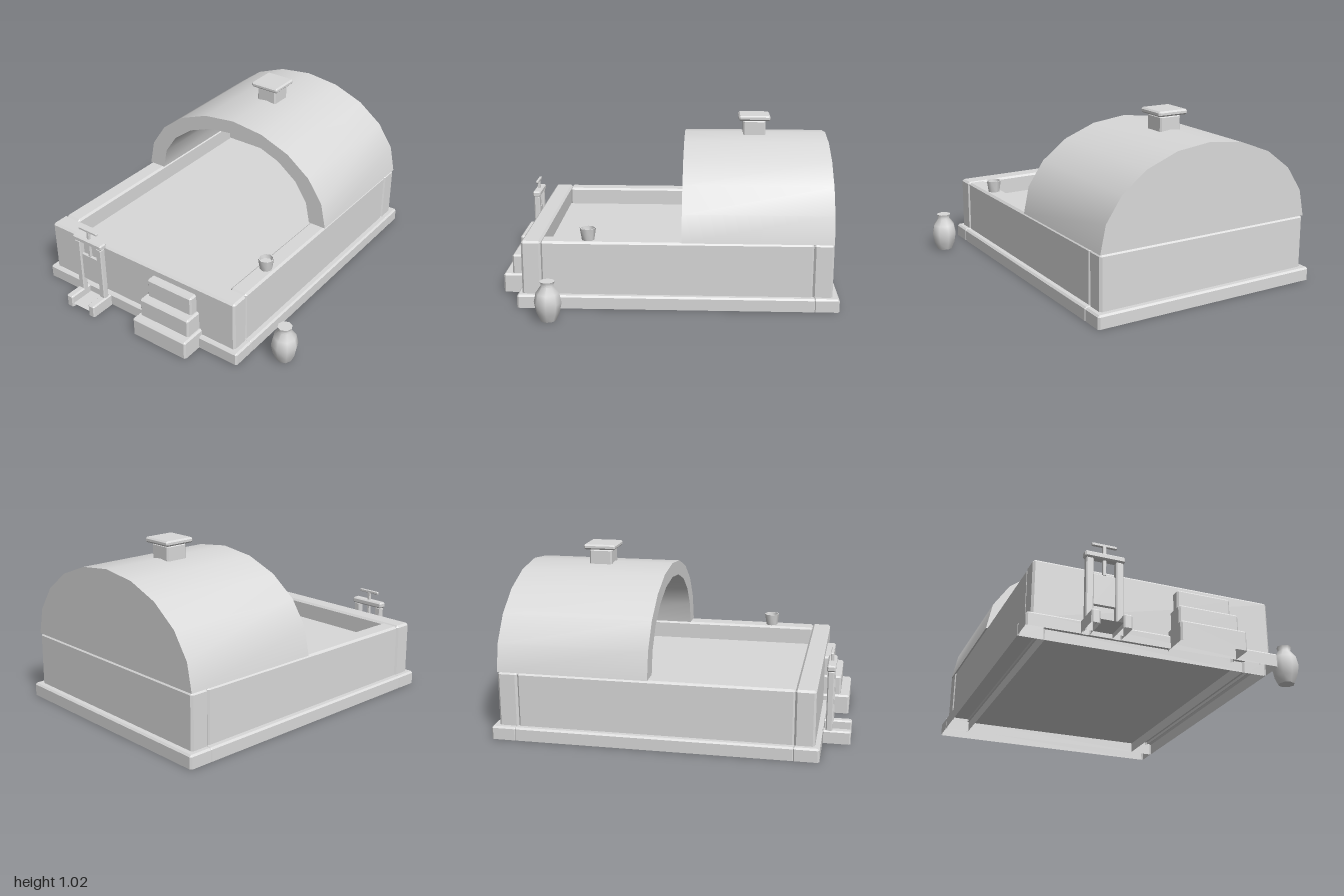
import * as THREE from 'three';
import { ConvexGeometry } from 'three/addons/geometries/ConvexGeometry.js';
import { toCreasedNormals } from 'three/addons/utils/BufferGeometryUtils.js';

const stone = new THREE.MeshStandardMaterial({ color: 0xd9d9d9, side: THREE.DoubleSide });
stone.name = 'pale stone grey';

const CX = -0.127; // centre line of the basin

// Block with chamfered edges; an open one has no underside
function chamferBox(w, h, d, b, open) {
  const x = w / 2, y = h / 2, z = d / 2, points = [];
  for (const sx of [-1, 1]) for (const sz of [-1, 1]) {
    const put = (px, py, pz) => points.push(new THREE.Vector3(sx * px, py, sz * pz));
    for (const level of [open ? -y : b - y, y - b]) {
      put(x, level, z - b);
      put(x - b, level, z);
    }
    put(x - b, y, z - b);
    if (!open) put(x - b, -y, z - b);
  }
  const geometry = new ConvexGeometry(points);
  if (!open) return geometry;
  const pos = geometry.attributes.position, kept = [];
  for (let i = 0; i < pos.count; i += 3) {
    const low = [i, i + 1, i + 2].every((k) => pos.getY(k) < 1e-5 - y);
    if (!low) kept.push(i, i + 1, i + 2);
  }
  geometry.setIndex(kept);
  return geometry;
}

export function createModel() {
  const model = new THREE.Group();
  model.name = 'vaultedBath';

  const add = (name, geometry, parent = model) => {
    const mesh = new THREE.Mesh(geometry, stone);
    mesh.name = name;
    parent.add(mesh);
    return mesh;
  };
  // Block given by its extents
  const block = (name, x0, x1, y0, y1, z0, z1, parent, bevel = 0.01, open = true) => {
    const mesh = add(name, chamferBox(x1 - x0, y1 - y0, z1 - z0, bevel, open), parent);
    mesh.position.set((x0 + x1) / 2, (y0 + y1) / 2, (z0 + z1) / 2);
  };
  const sheet = (name, x0, x1, y, z0, z1, parent) => {
    const mesh = add(name, new THREE.PlaneGeometry(x1 - x0, z1 - z0).rotateX(-Math.PI / 2), parent);
    mesh.position.set((x0 + x1) / 2, y, (z0 + z1) / 2);
  };
  const group = (name) => {
    const g = new THREE.Group();
    g.name = name;
    model.add(g);
    return g;
  };

  // Plinth frame
  const plinth = group('plinth');
  block('plinthFront', -0.845, 0.59, 0, 0.077, 0.7, 0.845, plinth);
  block('plinthBack', -0.845, 0.59, 0, 0.077, -1, -0.855, plinth);
  block('plinthRight', -0.845, -0.7, 0, 0.077, -0.865, 0.71, plinth);
  block('plinthLeft', 0.445, 0.59, 0, 0.077, -0.865, 0.71, plinth);

  // Basin walls, floor and water surface
  const basin = group('basin');
  block('frontWall', -0.812, 0.557, 0.06, 0.39, 0.705, 0.818, basin, 0.012);
  block('backWall', -0.812, 0.557, 0.06, 0.39, -0.962, -0.848, basin, 0.012);
  block('rightWall', -0.809, -0.7, 0.06, 0.389, -0.85, 0.707, basin, 0.012);
  block('leftWall', 0.445, 0.554, 0.06, 0.389, -0.85, 0.707, basin, 0.012);
  sheet('basinFloor', -0.71, 0.455, 0.06, -0.87, 0.72, basin);
  sheet('water', -0.71, 0.455, 0.28, -0.87, 0.72, basin);

  // Barrel vault: faceted half ellipses
  const arc = (rx, ry) => Array.from({ length: 11 }, (_, i) => {
    const a = (i / 10) * Math.PI;
    return new THREE.Vector2(CX + rx * Math.cos(a), 0.39 + ry * Math.sin(a));
  });
  const outer = arc(0.685, 0.515);
  const inner = arc(0.572, 0.43);
  const vault = group('vault');
  const shell = new THREE.ExtrudeGeometry(
    new THREE.Shape([...outer, ...inner.reverse()]), { depth: 0.862, bevelEnabled: false });
  add('vaultShell', toCreasedNormals(shell, 0.7), vault).position.z = -0.962;
  const end = new THREE.ExtrudeGeometry(new THREE.Shape(inner), { depth: 0.05, bevelEnabled: false });
  add('vaultBackWall', end, vault).position.z = -0.962;

  // Chimney
  const chimney = group('chimney');
  block('chimneyShaft', CX - 0.068, CX + 0.068, 0.86, 0.985, -0.592, -0.456, chimney, 0.009);
  block('chimneyCap', CX - 0.096, CX + 0.096, 0.987, 1.018, -0.62, -0.428, chimney, 0.009, false);

  // Entry steps
  const steps = group('steps');
  for (let i = 0; i < 3; i++) {
    block('step', -0.057 + i * 0.017, 0.328 - i * 0.017, i * 0.114, (i + 1) * 0.114,
      0.8, 0.972 - i * 0.052, steps);
  }

  // Sluice gate and outlet trough
  const sluice = group('sluice');
  const GX = -0.447;
  for (const s of [-1, 1]) {
    const px = GX + s * 0.083, rx = GX + s * 0.086;
    block('gatePost', px - 0.021, px + 0.021, 0, 0.42, 0.86, 0.898, sluice, 0.006);
    block('troughRail', rx - 0.024, rx + 0.024, 0, 0.075, 0.84, 1, sluice, 0.008);
  }
  block('gateCrossbar', GX - 0.112, GX + 0.112, 0.418, 0.454, 0.854, 0.904, sluice, 0.008, false);
  block('gatePanel', GX - 0.063, GX + 0.063, 0.153, 0.332, 0.87, 0.889, sluice, 0.004, false);
  block('gateStem', GX - 0.009, GX + 0.009, 0.33, 0.505, 0.871, 0.889, sluice, 0.002, false);
  block('gateHandle', GX - 0.07, GX + 0.07, 0.498, 0.515, 0.872, 0.888, sluice, 0.003, false);
  sheet('troughFloor', GX - 0.065, GX + 0.065, 0.025, 0.815, 0.995, sluice);

  // Turned vessels
  const lathe = (name, profile, x, y, z) => {
    const points = profile.map(([r, h]) => new THREE.Vector2(r, h));
    const geometry = toCreasedNormals(new THREE.LatheGeometry(points, 8), 1.05);
    add(name, geometry).position.set(x, y, z);
  };
  lathe('jar', [[0, 0], [0.046, 0], [0.066, 0.045], [0.078, 0.105], [0.066, 0.16],
    [0.038, 0.2], [0.036, 0.207], [0.043, 0.228], [0, 0.228]], 0.767, 0, 0.635);
  lathe('cup', [[0, 0], [0.036, 0], [0.047, 0.07], [0.04, 0.07],
    [0.036, 0.045], [0, 0.045]], 0.5, 0.389, 0.437);

  return model;
}
